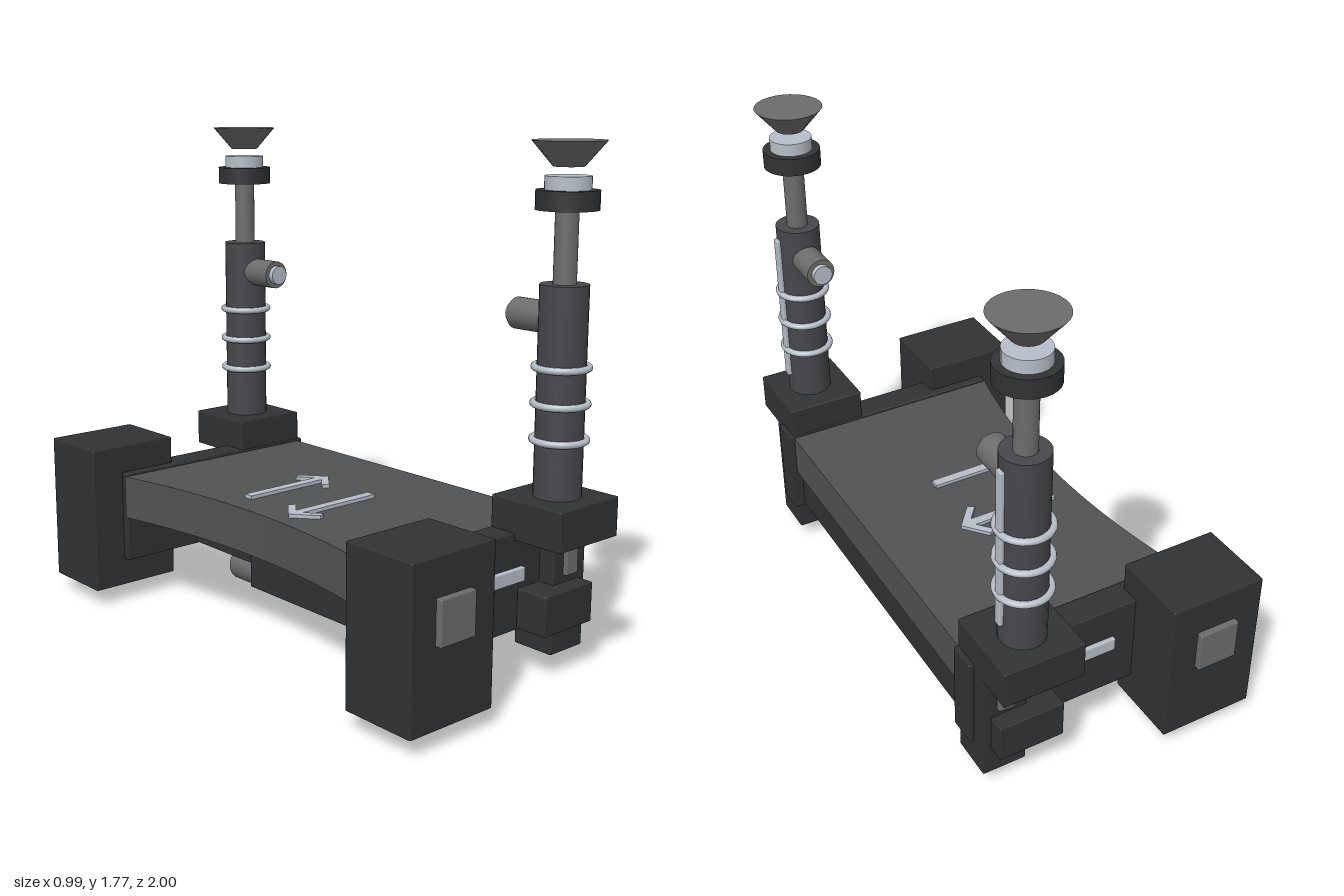
import * as THREE from 'three';
import { RoundedBoxGeometry } from 'three/addons/geometries/RoundedBoxGeometry.js';

const mat = (color) => new THREE.MeshStandardMaterial({ color });

export function createModel() {
  const dark = mat(0x303234), deckGrey = mat(0x505254), postGrey = mat(0x47474c);
  const steel = mat(0x6c6c6c), light = mat(0xb6bec8);
  const model = new THREE.Group();
  model.name = 'model';

  const add = (parent, name, geometry, material, x = 0, y = 0, z = 0) => {
    const mesh = new THREE.Mesh(geometry, material);
    mesh.name = name;
    mesh.position.set(x, y, z);
    parent.add(mesh);
    return mesh;
  };
  // Box given by its limits on each axis, with a tiny edge bevel
  const box = (parent, name, material, [x0, x1], [y0, y1], [z0, z1]) => {
    const s = [x1 - x0, y1 - y0, z1 - z0];
    const g = new RoundedBoxGeometry(...s, 1, Math.min(0.005, Math.min(...s) / 4));
    return add(parent, name, g, material, (x0 + x1) / 2, (y0 + y1) / 2, (z0 + z1) / 2);
  };
  // Upright cylinder between two heights
  const column = (parent, name, material, r0, r1, y0, y1) =>
    add(parent, name, new THREE.CylinderGeometry(r1, r0, y1 - y0, 28), material, 0, (y0 + y1) / 2, 0);
  // Flat shape in plan (shape x, y become world x, -z), from height y up
  const plan = (parent, name, shape, material, y, height) => {
    const g = new THREE.ExtrudeGeometry(shape, { depth: height, bevelEnabled: false, curveSegments: 24 });
    g.rotateX(-Math.PI / 2);
    return add(parent, name, g, material, 0, y, 0);
  };

  // Deck with a hollowed rear edge
  const deck = new THREE.Shape();
  deck.moveTo(0.47, -0.67);
  deck.lineTo(0.47, 0.67);
  deck.lineTo(-0.375, 0.67);
  deck.quadraticCurveTo(-0.215, 0, -0.375, -0.67);
  deck.closePath();
  plan(model, 'deck', deck, deckGrey, 0.335, 0.16);

  // Direction arrows on the deck
  const arrow = (name, tipX, z, length, dir) => {
    const w = 0.018, h = 0.083, k = 0.05;
    const pts = [[-length, -w], [-k, -w], [-h - 0.013, -h + 0.01], [-h + 0.012, -h - 0.003], [0, 0],
      [-h + 0.012, h + 0.003], [-h - 0.013, h - 0.01], [-k, w], [-length, w]];
    const g = plan(model, name, new THREE.Shape(pts.map((p) => new THREE.Vector2(...p))), light, 0.49, 0.018);
    g.position.x = tipX;
    g.position.z = z;
    if (dir < 0) g.rotation.y = Math.PI;
  };
  arrow('forwardArrow', 0.175, -0.14, 0.38, 1);
  arrow('backwardArrow', -0.245, 0.13, 0.385, -1);

  // Underside: tray, centre housing and roller
  box(model, 'tray', dark, [-0.05, 0.45], [0.17, 0.31], [-0.67, 0.67]);
  box(model, 'centreHousing', dark, [-0.065, 0.36], [0.085, 0.32], [-0.31, 0.31]);
  const roller = add(model, 'roller', new THREE.CylinderGeometry(0.065, 0.065, 1.2, 28), steel, 0.125, 0.065, 0);
  roller.rotation.x = Math.PI / 2;

  // Both ends: s = 1 at the front, -1 at the back
  for (const s of [1, -1]) {
    const end = new THREE.Group();
    end.name = s > 0 ? 'frontEnd' : 'backEnd';
    model.add(end);
    const zr = (a, b) => (s > 0 ? [a, b] : [-b, -a]);

    box(end, 'sidePlate', dark, [-0.37, 0.49], [0.165, 0.505], zr(0.665, 0.77));
    box(end, 'lightStrip', light, [-0.06, 0.225], [0.335, 0.385], zr(0.76, 0.785));
    box(end, 'cabinet', dark, [-0.495, -0.142], [0.062, 0.607], zr(0.695, 0.978));
    box(end, 'cabinetButton', steel, [-0.395, -0.245], [0.33, 0.48], zr(0.965, 1));

    // Clamp that carries the post
    box(end, 'clampCap', dark, [0.18, 0.473], [0.48, 0.617], zr(0.667, 0.96));
    box(end, 'clampLeg', dark, [0.312, 0.473], [0.062, 0.5], zr(0.67, 0.83));
    box(end, 'clampBracket', dark, [0.205, 0.445], [0.17, 0.31], zr(0.76, 0.89));
    box(end, 'clampButton', steel, [0.362, 0.422], [0.335, 0.48], zr(0.82, 0.845));

    // Telescopic post
    const post = new THREE.Group();
    post.name = 'post';
    post.position.set(0.328, 0, s * 0.82);
    end.add(post);
    column(post, 'sleeve', postGrey, 0.08, 0.08, 0.6, 1.315);
    column(post, 'rod', steel, 0.038, 0.038, 1.3, 1.56);
    column(post, 'collar', dark, 0.102, 0.102, 1.55, 1.613);
    column(post, 'neck', light, 0.075, 0.075, 1.6, 1.657);
    column(post, 'cup', steel, 0.05, 0.12, 1.685, 1.767);
    box(post, 'scaleStrip', light, [0.07, 0.092], [0.69, 1.27], [-0.016, 0.016]);
    for (const y of [0.807, 0.927, 1.047]) {
      const ring = add(post, 'ring', new THREE.TorusGeometry(0.088, 0.012, 10, 32), light, 0, y, 0);
      ring.rotation.x = Math.PI / 2;
    }

    // Locking knob facing inward
    const knob = add(post, 'knob', new THREE.CylinderGeometry(0.053, 0.053, 0.135, 24), steel, 0, 1.2, -s * 0.1275);
    const tip = add(post, 'knobTip', new THREE.CylinderGeometry(0.036, 0.036, 0.04, 24), light, 0, 1.2, -s * 0.195);
    knob.rotation.x = tip.rotation.x = Math.PI / 2;
  }
  return model;
}
